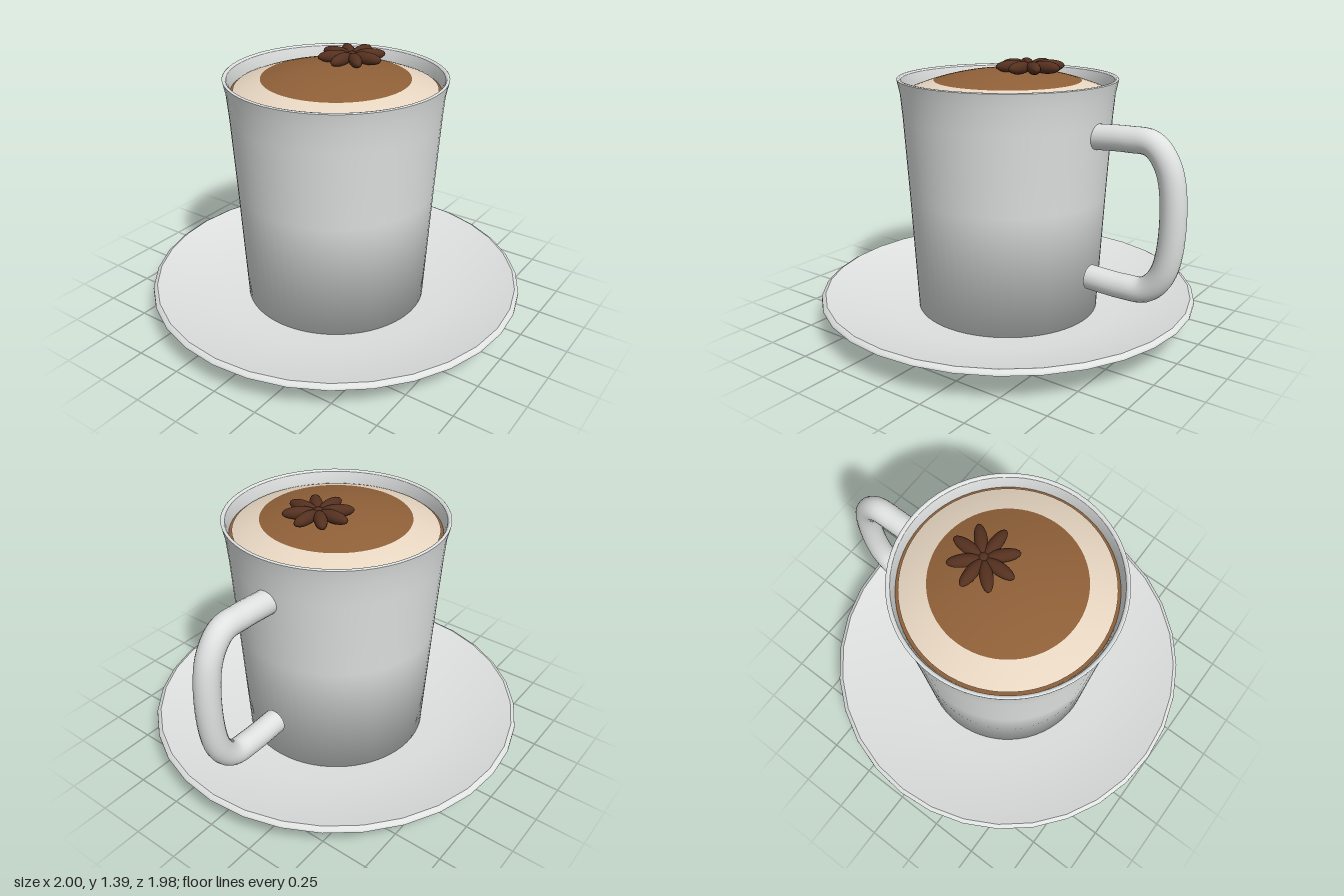
import * as THREE from 'three';

const material = (name, color, side = THREE.FrontSide) => {
  const m = new THREE.MeshStandardMaterial({ color, side });
  m.name = name;
  return m;
};

// Profiles run from the bottom axis outward, up and back in
const lathe = (profile, segments) =>
  new THREE.LatheGeometry(profile.map(([r, y]) => new THREE.Vector2(r, y)), segments);

export function createModel() {
  const porcelain = material('porcelain', 0xdfe2e1);
  const cream = material('cream', 0xead9c4);
  const cocoa = material('cocoa', 0x8f6038);
  const spice = material('spice', 0x54301f);

  const model = new THREE.Group();
  model.name = 'cupOnSaucer';
  const add = (name, geometry, mat, parent = model) => {
    const mesh = new THREE.Mesh(geometry, mat);
    mesh.name = name;
    parent.add(mesh);
    return mesh;
  };

  // Saucer: underside with foot, thin rim, dished top
  const saucer = new THREE.Group();
  saucer.name = 'saucer';
  model.add(saucer);
  add('saucerUnderside', lathe([[0, 0], [0.6, 0], [0.617, 0.04], [0.992, 0.153]], 32), porcelain, saucer);
  add('saucerRim', lathe([[0.992, 0.153], [0.99, 0.165], [0.97, 0.176]], 32), porcelain, saucer);
  add('saucerTop', lathe([[0.97, 0.176], [0.6, 0.082], [0, 0.078]], 32), porcelain, saucer);

  // Cup: tapered outer wall, rounded lip, inner wall
  const cup = new THREE.Group();
  cup.name = 'cup';
  model.add(cup);
  add('cupOutside', lathe([[0, 0.08], [0.48, 0.08], [0.512, 0.7], [0.535, 1.1], [0.545, 1.22], [0.56, 1.293]], 64), porcelain, cup);
  add('cupLip', lathe([[0.56, 1.293], [0.555, 1.297], [0.546, 1.296], [0.54, 1.288]], 64), porcelain, cup);
  add('cupInside', lathe([[0.54, 1.288], [0.525, 1.23], [0.515, 1.1], [0.46, 0.14], [0, 0.13]], 64), porcelain, cup);

  // Drink: thin dark edge, domed foam and a dusted middle
  const domeY = r => 1.337 - 0.4 * r * r;
  const dome = (from, to) => lathe(Array.from({ length: 9 }, (_, i) => {
    const r = from + (to - from) * i / 8;
    return [r, domeY(r)];
  }), 64);
  add('drinkSurface', lathe([[0.527, 1.222], [0, 1.222]], 64), cocoa);
  add('foam', dome(0.51, 0.375), cream);
  add('cocoaDusting', dome(0.375, 0), cocoa);

  // Handle: bent tube with closed ends
  const path = new THREE.CatmullRomCurve3([
    [0.515, 1.05], [0.7, 1.06], [0.82, 1.052], [0.905, 0.95], [0.941, 0.7],
    [0.905, 0.44], [0.82, 0.34], [0.7, 0.325], [0.51, 0.33],
  ].map(([x, y]) => new THREE.Vector3(x, y, 0)));
  add('handle', new THREE.TubeGeometry(path, 64, 0.063, 20), porcelain);
  for (const [t, name] of [[0, 'handleTopEnd'], [1, 'handleBottomEnd']]) {
    const cap = add(name, new THREE.CircleGeometry(0.063, 20), porcelain);
    cap.position.copy(path.getPointAt(t));
    cap.rotation.y = -Math.PI / 2;
  }

  // Star garnish: eight pod petals around a small heart
  const star = new THREE.Group();
  star.name = 'starGarnish';
  star.position.set(0.138, 1.358, 0);
  model.add(star);
  const petal = new THREE.SphereGeometry(1, 16, 12);
  for (let i = 0; i < 8; i++) {
    const a = i * Math.PI / 4;
    const pod = add('petal', petal, spice, star);
    pod.scale.set(0.083, 0.031, 0.032);
    pod.position.set(Math.cos(a) * 0.09, 0, -Math.sin(a) * 0.09);
    pod.rotation.y = a;
  }
  add('starHeart', petal, spice, star).scale.set(0.03, 0.022, 0.03);

  model.children.forEach(part => { part.position.x -= 0.005; });
  return model;
}
